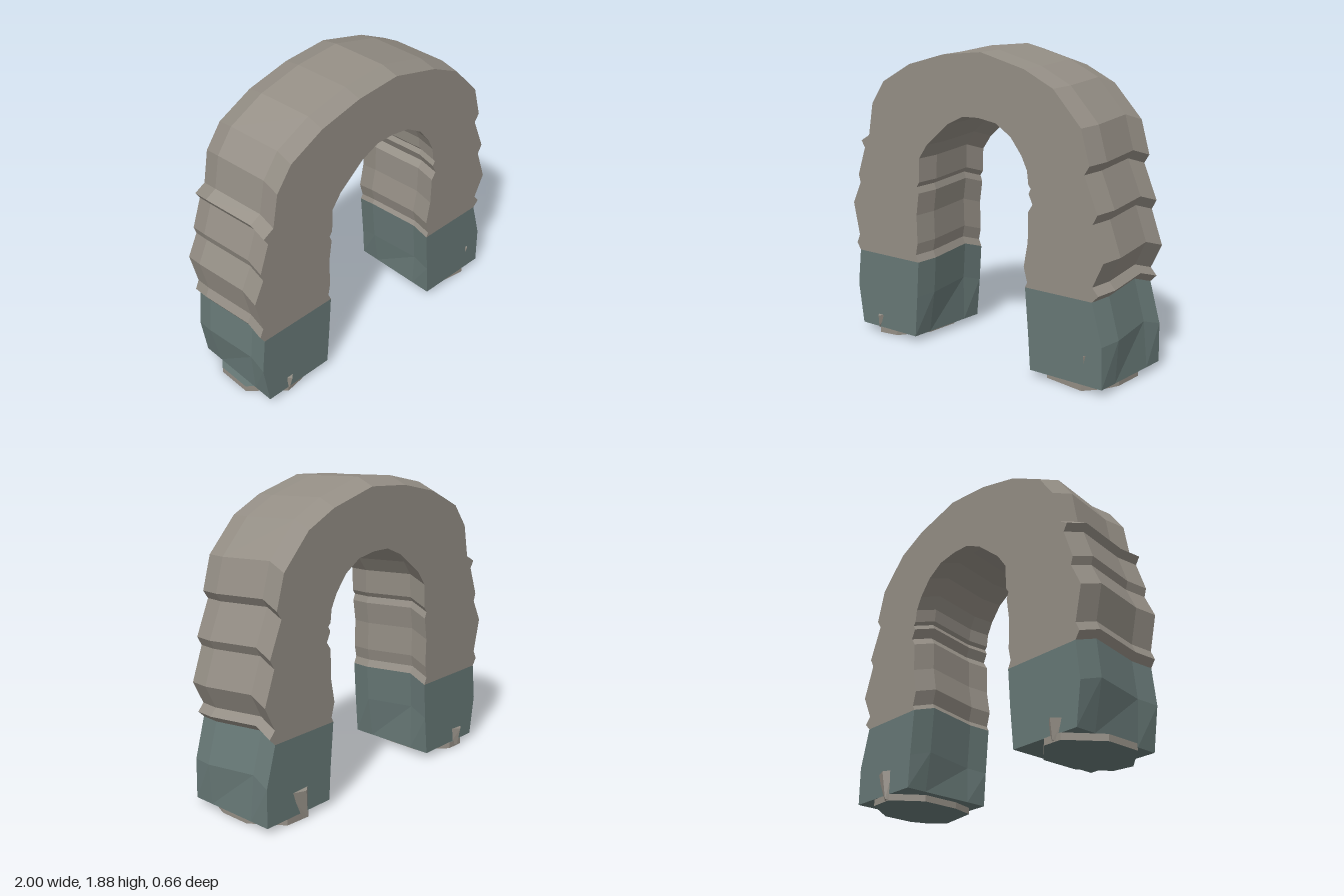
import * as THREE from 'three';
import { ConvexGeometry } from 'three/addons/geometries/ConvexGeometry.js';

const stone = new THREE.MeshStandardMaterial({ color: 0x938d84, flatShading: true, name: 'warm grey stone' });
const footStone = new THREE.MeshStandardMaterial({ color: 0x667775, flatShading: true, name: 'blue grey stone' });

// Depth layers, front to back: z and the sideways and upward shift of the outline
const LAYERS = [[0.305, 0, 0], [0.17, 0.022, 0.01], [-0.16, -0.022, 0.03], [-0.295, 0.003, -0.01]];
const FOOT_Y = 0.04;

// Lofts a counter-clockwise outline through the depth layers and caps both ends
function loft(outline) {
  const rings = LAYERS.map(([z, dx, dy]) => outline.map(([x, y]) =>
    y === FOOT_Y ? [x, y, z] : [x + dx, y + dy, z]));
  const pos = [];
  const tri = (a, b, c) => pos.push(...a, ...b, ...c);
  const n = outline.length;
  for (let k = 0; k < rings.length - 1; k++) {
    const f = rings[k], b = rings[k + 1];
    for (let i = 0; i < n; i++) {
      const j = (i + 1) % n;
      tri(f[i], b[i], b[j]);
      tri(f[i], b[j], f[j]);
    }
  }
  const front = rings[0], back = rings[rings.length - 1];
  const points = outline.map(([x, y]) => new THREE.Vector2(x, y));
  for (const [a, b, c] of THREE.ShapeUtils.triangulateShape(points, [])) {
    tri(front[a], front[b], front[c]);
    tri(back[c], back[b], back[a]);
  }
  const geo = new THREE.BufferGeometry();
  geo.setAttribute('position', new THREE.Float32BufferAttribute(pos, 3));
  geo.computeVertexNormals();
  return geo;
}

export function createModel() {
  const model = new THREE.Group();
  model.name = 'stoneArch';
  const add = (name, geo, mat) => {
    const mesh = new THREE.Mesh(geo, mat);
    mesh.name = name;
    model.add(mesh);
  };

  // Arch body: rough outer edge over the top, then the inner edge back
  const outer = [
    [0.905, 0.53], [0.945, 0.57], [0.905, 0.615], [0.975, 0.76], [0.9, 0.965], [0.93, 1.02],
    [0.84, 1.23], [0.873, 1.28], [0.815, 1.48], [0.625, 1.68], [0.425, 1.775], [0.11, 1.855],
    [-0.18, 1.83], [-0.455, 1.76], [-0.68, 1.643], [-0.783, 1.5], [-0.82, 1.295], [-0.89, 1.255],
    [-0.862, 1.21], [-0.925, 1.03], [-0.91, 0.98], [-0.978, 0.84], [-0.93, 0.63], [-0.955, 0.575],
    [-0.925, 0.53],
  ];
  const inner = [
    [-0.405, 0.53], [-0.425, 0.575], [-0.41, 0.65], [-0.415, 0.83], [-0.395, 0.97], [-0.41, 1.01],
    [-0.39, 1.04], [-0.385, 1.19], [-0.32, 1.28], [-0.15, 1.42], [-0.03, 1.475], [0.09, 1.478],
    [0.22, 1.458], [0.33, 1.39], [0.41, 1.29], [0.45, 1.21], [0.46, 1.13], [0.478, 1.11],
    [0.462, 1.08], [0.49, 1.02], [0.46, 0.975], [0.458, 0.8], [0.43, 0.65], [0.455, 0.56],
    [0.44, 0.53],
  ];
  add('archBody', loft([...outer, ...inner]), stone);

  // Coloured feet
  add('leftFoot', loft([[0.48, FOOT_Y], [0.98, FOOT_Y], [0.975, 0.285], [0.905, 0.53], [0.44, 0.53],
    [0.465, 0.25]]), footStone);
  add('rightFoot', loft([[-0.91, FOOT_Y], [-0.44, FOOT_Y], [-0.42, 0.3], [-0.405, 0.53], [-0.925, 0.53],
    [-0.95, 0.3]]), footStone);

  // Faceted base slabs: foot colour below, stone colour around the rim
  const slab = (name, pts) => {
    const shape = new THREE.Shape(pts.map(([x, z]) => new THREE.Vector2(x, z)));
    const geo = new THREE.ExtrudeGeometry(shape, { depth: FOOT_Y, bevelEnabled: false });
    geo.rotateX(Math.PI / 2).translate(0, FOOT_Y, 0);
    add(name, geo, [footStone, stone]);
  };
  slab('leftBase', [[0.53, -0.12], [0.66, -0.3], [0.82, -0.29], [0.96, -0.1], [0.96, 0.1], [0.92, 0.2],
    [0.84, 0.3], [0.57, 0.26], [0.53, 0.12]]);
  slab('rightBase', [[-0.95, -0.1], [-0.8, -0.3], [-0.68, -0.3], [-0.51, -0.14], [-0.51, 0.1],
    [-0.63, 0.28], [-0.76, 0.3], [-0.95, 0.12]]);

  // Small stone chips poking through the faces of the feet
  const chip = (name, pts) =>
    add(name, new ConvexGeometry(pts.map((p) => new THREE.Vector3(...p))), stone);
  chip('rightFrontChip', [[-0.78, 0.125, 0.295], [-0.715, 0.125, 0.295], [-0.765, 0.03, 0.295],
    [-0.75, 0.12, 0.328], [-0.76, 0.04, 0.312]]);
  chip('leftFrontChip', [[0.845, 0.21, 0.295], [0.877, 0.22, 0.295], [0.855, 0.13, 0.295],
    [0.86, 0.212, 0.317]]);
  chip('leftBackChip', [[0.65, 0.19, -0.285], [0.8, 0.185, -0.285], [0.66, 0.0, -0.285],
    [0.72, 0.0, -0.285], [0.7, 0.185, -0.326], [0.68, 0.01, -0.312]]);
  chip('rightBackChip', [[-0.82, 0.12, -0.285], [-0.7, 0.13, -0.285], [-0.78, 0.0, -0.285],
    [-0.71, 0.02, -0.285], [-0.755, 0.125, -0.33], [-0.75, 0.01, -0.31]]);

  return model;
}
